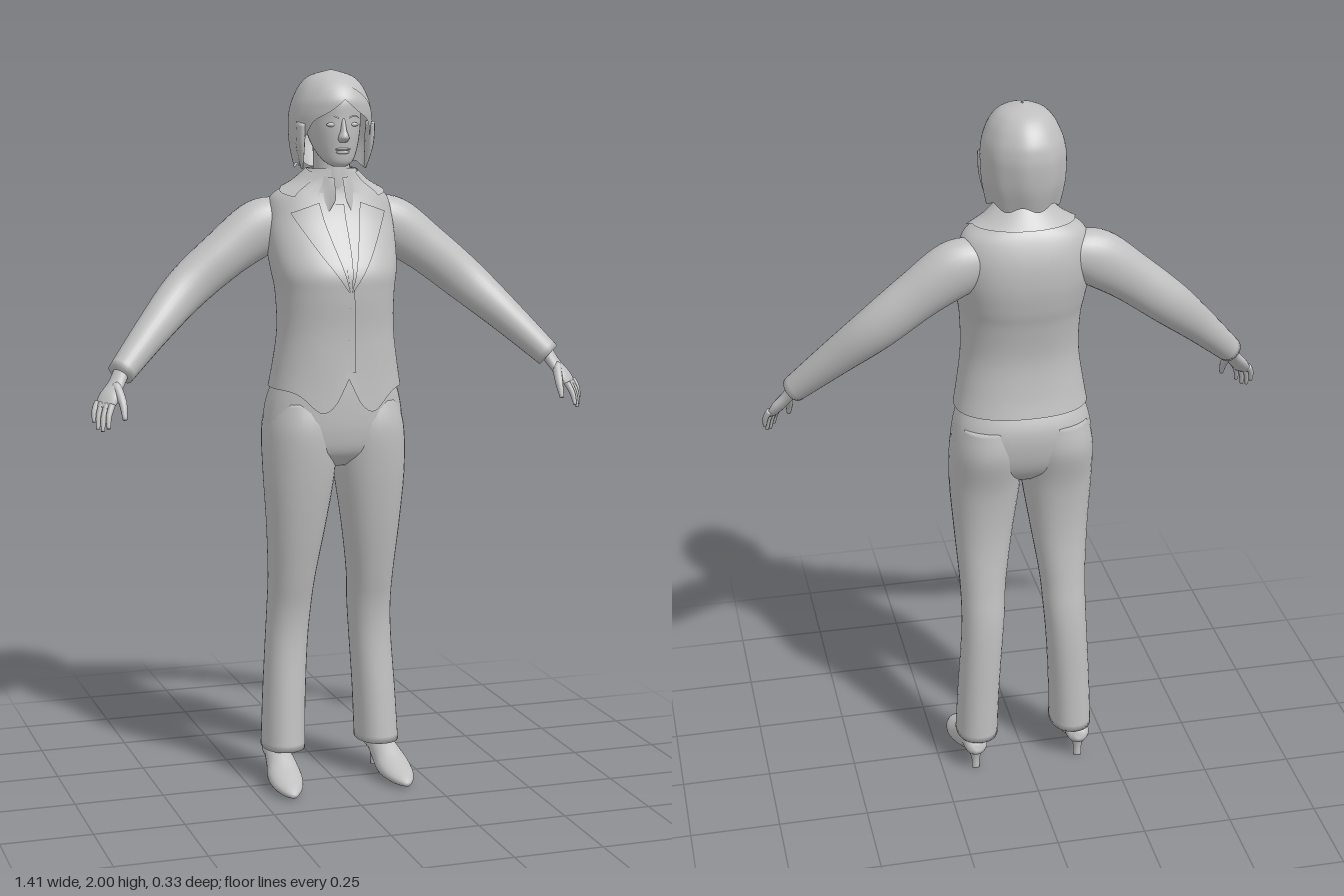
import * as THREE from 'three';
import { mergeVertices } from 'three/addons/utils/BufferGeometryUtils.js';

const V = (x, y, z) => new THREE.Vector3(x, y, z);
const grey = new THREE.MeshStandardMaterial({ color: 0xc0c0c0, side: THREE.DoubleSide });
grey.name = 'plain grey';

// Smooth interpolation through rows of numbers, t from 0 to 1
function rowSpline(rows, t) {
  const n = rows.length - 1, s = Math.min(Math.max(t, 0), 1) * n;
  const i = Math.min(Math.floor(s), n - 1), f = s - i;
  const at = k => rows[Math.min(Math.max(k, 0), n)];
  return rows[0].map((_, k) => {
    const [a, b, c, d] = [at(i - 1)[k], at(i)[k], at(i + 1)[k], at(i + 2)[k]];
    return b + 0.5 * f * (c - a + f * (2 * a - 5 * b + 4 * c - d + f * (3 * (b - c) + d - a)));
  });
}

// Row at a given height, for rows that rise in y
function rowAt(rows, y) {
  let lo = 0, hi = 1;
  for (let k = 0; k < 24; k++) {
    const m = (lo + hi) / 2;
    if (rowSpline(rows, m)[0] < y) lo = m; else hi = m;
  }
  return rowSpline(rows, lo);
}

// Grid surface: fn(u, v), u across and v along
function surface(fn, nu, nv) {
  const pos = [], idx = [];
  for (let i = 0; i <= nv; i++) for (let j = 0; j <= nu; j++) pos.push(...fn(j / nu, i / nv).toArray());
  for (let i = 0; i < nv; i++) for (let j = 0; j < nu; j++) {
    const a = i * (nu + 1) + j, d = a + nu + 1;
    idx.push(a, a + 1, d + 1, a, d + 1, d);
  }
  const g = new THREE.BufferGeometry();
  g.setAttribute('position', new THREE.Float32BufferAttribute(pos, 3));
  g.setIndex(idx);
  const m = mergeVertices(g, 1e-5);
  m.computeVertexNormals();
  return m;
}

// Point on a horizontal section [y, cx, rx, zFront, zBack]; angle 0 is the front
function ringPoint([y, cx, rx, zf, zb], ang, p = 2, grow = 0) {
  const bend = v => Math.sign(v) * Math.abs(v) ** (2 / p);
  return V(cx + (rx + grow) * bend(Math.sin(ang)), y, (zf + zb) / 2 + ((zf - zb) / 2 + grow) * bend(Math.cos(ang)));
}
const frontZ = (rows, p, x, y) => {
  const [, cx, rx, zf, zb] = rowAt(rows, y);
  const k = Math.max(0, 1 - Math.abs((x - cx) / rx) ** p) ** (1 / p);
  return (zf + zb) / 2 + (zf - zb) / 2 * k;
};

// Capped upright body
function loft(rows, p = 2, nu = 32, nv = 36) {
  return surface((u, v) => {
    const k = (v * (nv + 2) - 1) / nv, r = rowSpline(rows, k);
    if (k < -1e-6 || k > 1 + 1e-6) return V(r[1], r[0], (r[3] + r[4]) / 2);
    return ringPoint(r, u * Math.PI * 2, p);
  }, nu, nv + 2);
}

// Capped limb along rows [x, y, z, a, b]; radius b lies along ref
function limb(rows, ref, nu = 20, nv = 20) {
  const at = t => V(...rowSpline(rows, t).slice(0, 3));
  return surface((u, v) => {
    const k = (v * (nv + 2) - 1) / nv, t = Math.min(Math.max(k, 0), 1), r = rowSpline(rows, t), c = at(t);
    if (k < -1e-6 || k > 1 + 1e-6) return c;
    const T = at(t + 0.01).sub(at(t - 0.01)).normalize();
    const N = ref.clone().cross(T).normalize(), B = T.clone().cross(N), a = u * Math.PI * 2;
    return c.addScaledVector(N, r[3] * Math.cos(a)).addScaledVector(B, r[4] * Math.sin(a));
  }, nu, nv + 2);
}

// Thin cloth strip between two edges, laid on the front of a body
function strip(rows, p, edgeA, edgeB, lift, nu = 8, nv = 20) {
  return surface((u, v) => {
    const a = rowSpline(edgeA, v), b = rowSpline(edgeB, v);
    const x = a[0] + (b[0] - a[0]) * u, y = a[1] + (b[1] - a[1]) * u;
    return V(x, y, frontZ(rows, p, x, y) + lift);
  }, nu, nv);
}

function mirrored(geo) {
  const g = geo.clone().scale(-1, 1, 1), ix = g.index.array;
  for (let i = 0; i < ix.length; i += 3) [ix[i], ix[i + 1]] = [ix[i + 1], ix[i]];
  g.computeVertexNormals();
  return g;
}

export function createModel() {
  const model = new THREE.Group();
  model.name = 'womanInSuit';
  const add = (name, geo) => {
    const m = new THREE.Mesh(geo, grey);
    m.name = name;
    model.add(m);
  };
  const pair = (name, geo) => { add('left' + name, geo); add('right' + name, mirrored(geo)); };

  // Jacket body with a curved, cut-away hem
  const torso = [[1.13, 0, 0.185, 0.138, -0.13], [1.2, 0, 0.174, 0.135, -0.118], [1.3, 0, 0.162, 0.136, -0.112],
    [1.4, 0, 0.164, 0.145, -0.13], [1.46, 0, 0.173, 0.143, -0.147], [1.53, 0, 0.18, 0.105, -0.159],
    [1.6, 0, 0.178, 0.065, -0.157], [1.66, 0, 0.162, 0.042, -0.138], [1.7, 0, 0.1, 0.036, -0.11], [1.735, 0, 0.064, 0.034, -0.085]];
  const TP = 2.3;
  add('jacket', surface((u, v) => {
    const a = u * Math.PI * 2, q = ringPoint(rowSpline(torso, v), a, TP), x = Math.abs(q.x);
    const hem = Math.cos(a) > 0 ? 0.01 - 0.062 * Math.exp(-(((x - 0.07) / 0.05) ** 2)) + 0.04 * Math.exp(-((x / 0.018) ** 2)) : 0.01;
    q.y += hem * Math.max(0, (1.25 - q.y) / 0.12);
    return q;
  }, 96, 50));
  add('jacketOverlap', strip(torso, TP, [[-0.002, 1.19], [0, 1.3], [0, 1.42]], [[0.02, 1.19], [0.018, 1.3], [0.012, 1.42]], 0.004));

  // Lapels and jacket collar
  pair('Lapel', strip(torso, TP, [[0.002, 1.41], [0.026, 1.5], [0.046, 1.58], [0.058, 1.645]],
    [[0.006, 1.41], [0.068, 1.5], [0.112, 1.575], [0.135, 1.618]], 0.011));
  add('jacketCollar', surface((u, v) => {
    const a = 0.75 + u * (Math.PI * 2 - 1.5), front = Math.max(0, Math.cos(a));
    const y = 1.685 - 0.035 * front + v * (0.05 + 0.02 * front);
    return ringPoint(rowAt(torso, y), a, 2, 0.012 - 0.006 * v);
  }, 40, 8));

  // Shirt front, placket and collar
  add('shirtFront', strip(torso, TP, [[-0.003, 1.42], [-0.045, 1.58], [-0.055, 1.67]], [[0.003, 1.42], [0.045, 1.58], [0.055, 1.67]], 0.003));
  add('shirtPlacket', strip(torso, TP, [[-0.004, 1.42], [-0.012, 1.52], [-0.012, 1.64]], [[0.004, 1.42], [0.012, 1.52], [0.012, 1.64]], 0.007));
  add('shirtCollar', surface((u, v) => {
    const a = 0.2 + u * (Math.PI * 2 - 0.4), tip = Math.exp(-(((Math.min(a, Math.PI * 2 - a) - 0.55) / 0.3) ** 2));
    const y = 1.735 - 0.025 * Math.max(0, Math.cos(a)) - (1 - v) * (0.045 + 0.05 * tip);
    return ringPoint([y, 0, 0.056 + 0.014 * (1 - v), 0.045 + 0.022 * (1 - v), -0.08], a);
  }, 48, 6));

  // Sleeves
  pair('Sleeve', limb([[0.12, 1.595, -0.07, 0.06, 0.055], [0.19, 1.573, -0.07, 0.078, 0.062], [0.29, 1.505, -0.064, 0.069, 0.058],
    [0.405, 1.412, -0.05, 0.062, 0.053], [0.51, 1.312, 0.002, 0.049, 0.048], [0.617, 1.203, 0.064, 0.036, 0.038]], V(0, 0, 1), 28, 30));

  // Hands
  const spread = V(-0.65, -0.1, 0.7);
  pair('Palm', limb([[0.605, 1.222, 0.056, 0.02, 0.023], [0.63, 1.18, 0.076, 0.016, 0.024],
    [0.655, 1.145, 0.093, 0.015, 0.031], [0.672, 1.118, 0.103, 0.009, 0.027]], spread));
  ['IndexFinger', 'MiddleFinger', 'RingFinger', 'LittleFinger'].forEach((name, i) => {
    const t = i / 3, mid = Math.sin(t * Math.PI);
    const base = V(0.651, 1.13, 0.118).lerp(V(0.683, 1.135, 0.083), t);
    const tip = V(0.667, 1.07, 0.142).lerp(V(0.697, 1.083, 0.1), t).add(V(0.003 * mid, -0.015 * mid, 0));
    const joint = base.clone().lerp(tip, 0.5).add(V(0.004, 0.002, 0));
    pair(name, limb([[...base, 0.009, 0.009], [...joint, 0.008, 0.008], [...tip, 0.005, 0.005]], spread, 10, 8));
  });
  pair('Thumb', limb([[0.633, 1.178, 0.085, 0.013, 0.013], [0.624, 1.135, 0.125, 0.011, 0.011], [0.624, 1.093, 0.148, 0.006, 0.006]], spread, 10, 8));

  // Trousers
  add('trouserSeat', loft([[0.92, 0, 0.1, 0.06, -0.06], [0.96, 0, 0.165, 0.1, -0.105], [1.02, 0, 0.195, 0.115, -0.13],
    [1.1, 0, 0.188, 0.118, -0.136], [1.18, 0, 0.16, 0.115, -0.105]], 2.4));
  const leg = [[0.1, 0.08, 0.2, 0.042, -0.12], [0.25, 0.075, 0.193, 0.028, -0.12], [0.4, 0.066, 0.184, 0.016, -0.12],
    [0.5, 0.058, 0.18, 0.022, -0.115], [0.6, 0.05, 0.181, 0.046, -0.102], [0.75, 0.027, 0.191, 0.08, -0.091],
    [0.9, 0.004, 0.201, 0.106, -0.104], [1.02, 0, 0.199, 0.116, -0.136], [1.1, 0.015, 0.18, 0.1, -0.13]];
  pair('TrouserLeg', loft(leg.map(([y, i, o, f, b]) => [y, (i + o) / 2, (o - i) / 2, f, b]), 2.2, 32, 44));

  // Heeled shoes, rows [z, centre x, half width, bottom, top]
  const shoe = [[-0.115, 0.15, 0.012, 0.072, 0.098], [-0.1, 0.152, 0.032, 0.05, 0.112], [-0.05, 0.154, 0.036, 0.042, 0.115],
    [0, 0.157, 0.041, 0.014, 0.1], [0.05, 0.161, 0.048, 0.002, 0.072], [0.1, 0.164, 0.042, 0.002, 0.05],
    [0.14, 0.166, 0.026, 0.003, 0.034], [0.163, 0.166, 0.008, 0.008, 0.02]];
  pair('Shoe', limb(shoe.map(([z, x, w, b, t]) => [x, (b + t) / 2, z, (t - b) / 2, w]), V(1, 0, 0), 24, 28));
  pair('ShoeHeel', loft([[0, 0.153, 0.012, -0.078, -0.1], [0.035, 0.153, 0.013, -0.075, -0.102], [0.075, 0.153, 0.029, -0.055, -0.112]], 2, 16, 8));

  // Neck and head
  add('neck', loft([[1.62, 0, 0.06, 0.035, -0.085], [1.7, 0, 0.051, 0.038, -0.075], [1.82, 0, 0.05, 0.03, -0.08]]));
  const head = [[1.742, 0, 0.018, 0.068, 0.035], [1.755, 0, 0.038, 0.078, 0.005], [1.785, 0, 0.056, 0.083, -0.05], [1.83, 0, 0.069, 0.088, -0.1],
    [1.87, 0, 0.074, 0.088, -0.12], [1.92, 0, 0.074, 0.085, -0.125], [1.96, 0, 0.055, 0.05, -0.1], [1.985, 0, 0.02, 0, -0.05]];
  add('head', loft(head, 2.1));
  add('nose', loft([[1.808, 0, 0.012, 0.09, 0.07], [1.82, 0, 0.015, 0.107, 0.07], [1.84, 0, 0.009, 0.099, 0.07], [1.872, 0, 0.006, 0.088, 0.07]], 2, 16, 16));
  const blob = (x, y, z, sx, sy, sz) => new THREE.SphereGeometry(1, 16, 10).scale(sx, sy, sz).translate(x, y, z);
  add('upperLip', blob(0, 1.789, 0.082, 0.022, 0.004, 0.008));
  add('lowerLip', blob(0, 1.781, 0.081, 0.019, 0.005, 0.008));
  pair('Eye', blob(0.031, 1.855, frontZ(head, 2.1, 0.031, 1.855) - 0.002, 0.014, 0.006, 0.006));
  pair('Eyebrow', strip(head, 2.1, [[0.014, 1.87], [0.032, 1.877], [0.052, 1.87]], [[0.014, 1.875], [0.032, 1.881], [0.052, 1.872]], 0.004, 2, 8));

  // Bobbed hair, open around the face; last two values are the opening on each side
  const hair = [[1.742, 0, 0.097, 0.065, -0.135, 1.4, 1.3], [1.8, 0, 0.109, 0.08, -0.154, 1.15, 1.05], [1.86, 0, 0.112, 0.095, -0.163, 0.9, 0.85],
    [1.895, 0, 0.109, 0.1, -0.162, 0.55, 0.5], [1.925, 0, 0.1, 0.098, -0.154, 0, 0], [1.96, 0, 0.082, 0.075, -0.13, 0, 0],
    [1.985, 0, 0.054, 0.038, -0.095, 0, 0], [2, 0, 0.003, -0.02, -0.03, 0, 0]];
  add('hair', surface((u, v) => {
    const r = rowSpline(hair, v), l = Math.max(0, r[5]), a = l + u * (Math.PI * 2 - l - Math.max(0, r[6]));
    const q = ringPoint(r, a, 2, 0.0015 * Math.sin(9 * a) * (1 - v));
    q.y += 0.008 * Math.sin(7 * a) * Math.max(0, 1 - v * 4);
    return q;
  }, 64, 40));
  pair('Fringe', strip(hair, 2, [[-0.004, 1.925], [0.035, 1.893], [0.075, 1.865], [0.09, 1.825]],
    [[0.004, 1.965], [0.05, 1.94], [0.09, 1.9], [0.105, 1.84]], 0.003));
  pair('SideLock', limb([[0.098, 1.86, 0.02, 0.012, 0.022], [0.098, 1.8, 0.01, 0.011, 0.022], [0.09, 1.735, 0, 0.003, 0.006]], V(0, 0, 1), 12, 10));

  return model;
}
